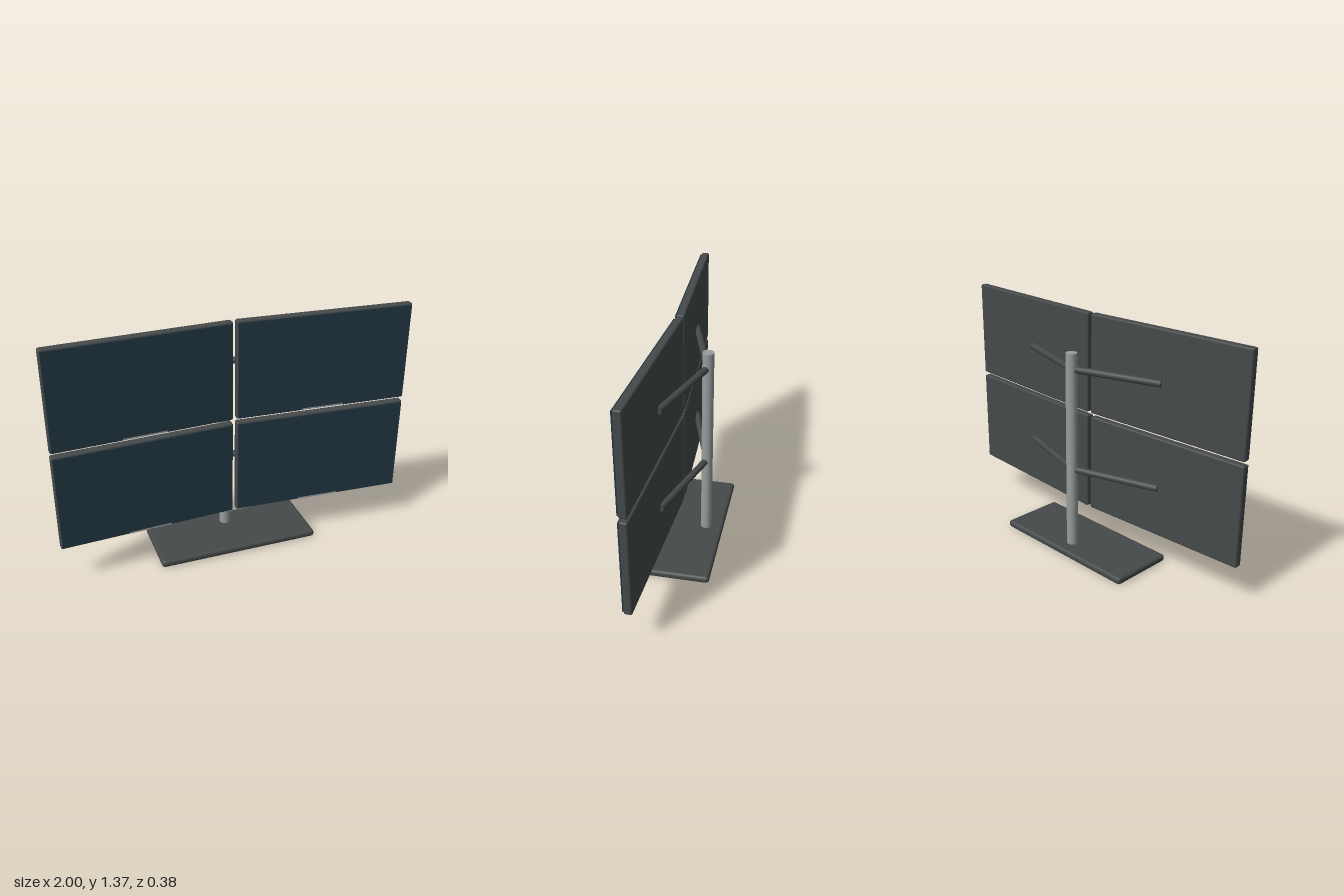
import * as THREE from 'three';
import { RoundedBoxGeometry } from 'three/addons/geometries/RoundedBoxGeometry.js';

const material = (name, color) => {
  const m = new THREE.MeshStandardMaterial({ color });
  m.name = name;
  return m;
};

export function createModel() {
  const frame = material('dark grey frame', 0x454949);
  const metal = material('brushed metal', 0x979d9e);
  const glass = material('dark blue screen', 0x223643);

  const model = new THREE.Group();
  model.name = 'quadMonitorStand';

  const add = (parent, name, geometry, mat, x = 0, y = 0, z = 0) => {
    const mesh = new THREE.Mesh(geometry, mat);
    mesh.name = name;
    mesh.position.set(x, y, z);
    parent.add(mesh);
    return mesh;
  };

  // Stand: rounded foot plate and upright pole
  const poleZ = -0.09;
  add(model, 'base', new RoundedBoxGeometry(0.928, 0.042, 0.376, 4, 0.018), frame, 0, 0.021, 0);
  add(model, 'pole', new THREE.CylinderGeometry(0.032, 0.032, 1.14, 20), metal, 0, 0.605, poleZ);

  // Shared monitor geometry
  const W = 0.99, H = 0.56, D = 0.044;
  const tilt = THREE.MathUtils.degToRad(3);
  const bodyGeo = new RoundedBoxGeometry(W, H, D, 3, 0.01);
  const screenGeo = new THREE.BoxGeometry(W - 0.016, H - 0.02, 0.008);
  const barGeo = new THREE.BoxGeometry(0.24, 0.009, 0.009);

  // Support arm running from the pole to the back of a monitor
  const up = new THREE.Vector3(0, 1, 0);
  const addArm = (side, y) => {
    const from = new THREE.Vector3(side * 0.01, y, -0.085);
    const to = new THREE.Vector3(side * 0.495, y, 0.064);
    const dir = to.clone().sub(from);
    const arm = add(model, 'arm', new THREE.CylinderGeometry(0.019, 0.019, dir.length(), 16), frame);
    arm.position.copy(from).add(to).multiplyScalar(0.5);
    arm.quaternion.setFromUnitVectors(up, dir.normalize());
  };

  // Two rows of two monitors, the outer edges angled forwards
  for (const y of [0.505, 1.085]) {
    for (const side of [-1, 1]) {
      const monitor = new THREE.Group();
      monitor.name = 'monitor';
      monitor.position.set(side * 0.505, y, 0.087);
      monitor.rotation.y = -side * tilt;
      add(monitor, 'monitorBody', bodyGeo, frame);
      add(monitor, 'screen', screenGeo, glass, 0, 0, D / 2 + 0.0035);
      add(monitor, 'lowerTrim', barGeo, metal, 0, -H / 2 + 0.013, D / 2 + 0.0038);
      model.add(monitor);
      addArm(side, y);
    }
  }

  return model;
}
